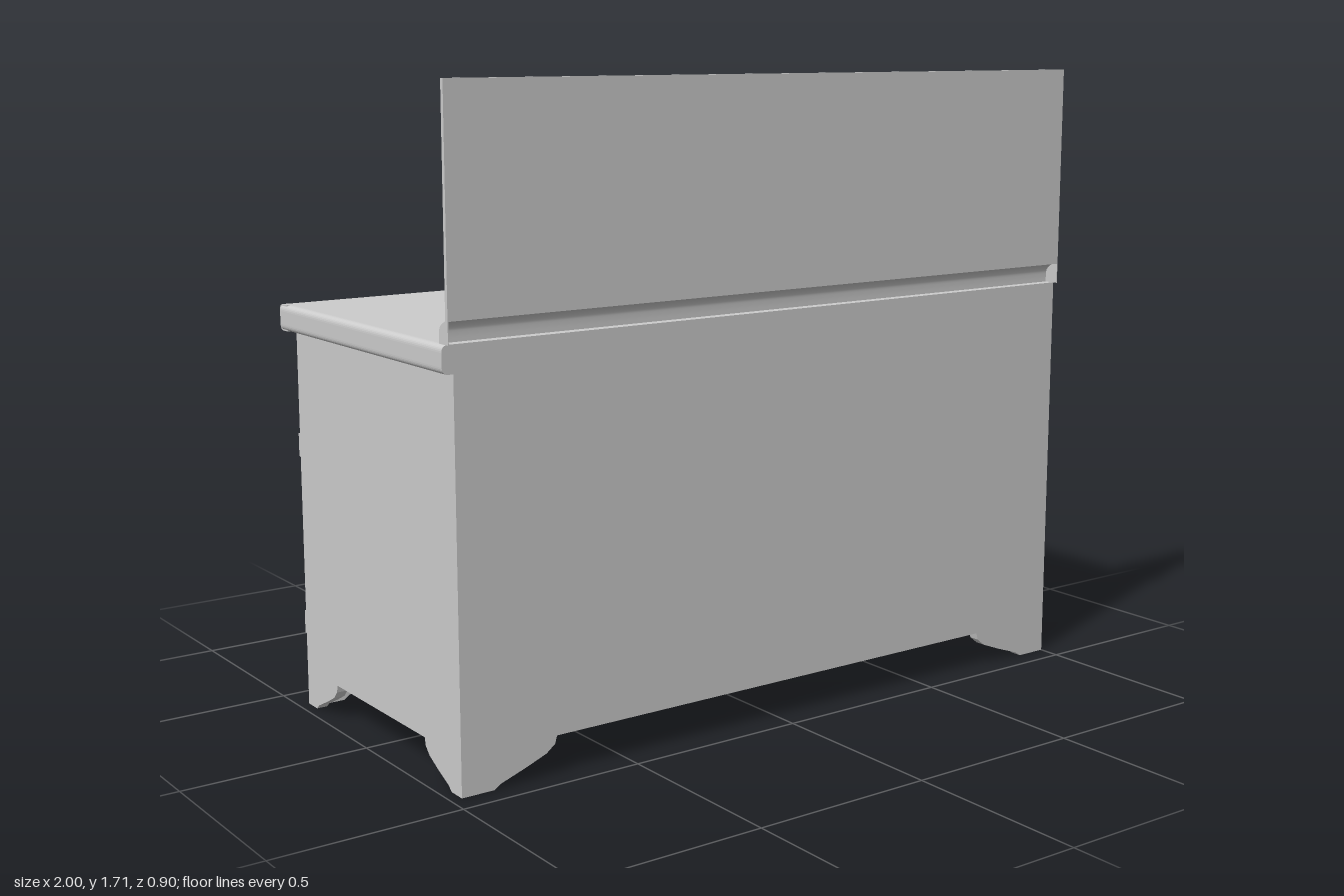
import * as THREE from 'three';

const mat = new THREE.MeshStandardMaterial({ color: 0xcccccc, side: THREE.DoubleSide });

export function createModel() {
  const root = new THREE.Group();

  function add(name, geo, x = 0, y = 0, z = 0) {
    const m = new THREE.Mesh(geo, mat);
    m.name = name;
    m.position.set(x, y, z);
    root.add(m);
    return m;
  }
  // box given by its limits on each axis
  const box = (name, x0, x1, y0, y1, z0, z1) =>
    add(name, new THREE.BoxGeometry(x1 - x0, y1 - y0, z1 - z0),
      (x0 + x1) / 2, (y0 + y1) / 2, (z0 + z1) / 2);
  // extrusion of a (z, y) profile running from x0 to x1
  function alongX(name, shape, x0, x1) {
    const g = new THREE.ExtrudeGeometry(shape, { depth: x1 - x0, bevelEnabled: false, curveSegments: 8 });
    return add(name, g.rotateY(-Math.PI / 2), x1);
  }
  // extrusion of an (x, y) profile running from z0 to z1
  const alongZ = (name, shape, z0, z1) =>
    add(name, new THREE.ExtrudeGeometry(shape, { depth: z1 - z0, bevelEnabled: false, curveSegments: 8 }), 0, 0, z0);

  // board with bracket feet; foot = [toe width, full width], a single number means a square foot
  function footedBoard(a, b, footA, footB) {
    const s = new THREE.Shape();
    const foot = (edge, dir, f) => {
      if (typeof f === 'number') return [[edge, 0], [edge + dir * f, 0], [edge + dir * f, 0.1]];
      const [t, w] = f, d = w - t;
      return [[0, 0], [t, 0], [t + d * 0.1, 0.012], [t + d * 0.5, 0.037], [t + d * 0.83, 0.06],
        [t + d * 0.97, 0.08], [w, 0.1]].map(([u, y]) => [edge + dir * u, y]);
    };
    const pts = [...foot(a, 1, footA), ...foot(b, -1, footB).reverse(), [b, 1.05], [a, 1.05]];
    s.setFromPoints(pts.map(p => new THREE.Vector2(...p)));
    return s;
  }

  // carcass
  const wide = [0.09, 0.27], narrow = [0.05, 0.18];
  alongZ('frontFrame', footedBoard(-0.97, 1, wide, wide), -0.4, -0.37);
  alongZ('backPanel', footedBoard(-0.97, 1, wide, wide), 0.41, 0.44);
  alongX('rightSidePanel', footedBoard(-0.4, 0.44, narrow, narrow), -0.97, -0.94);
  alongX('leftSidePanel', footedBoard(-0.4, 0.44, 0.27, narrow), 0.97, 1);
  box('floorPanel', -0.95, 0.98, 0.16, 0.18, -0.38, 0.42);
  box('centreDivider', 0, 0.03, 0.1, 1.05, -0.38, 0.42);

  // worktop with rounded nosing on the working side and one end
  box('worktop', -0.97, 1, 1.04, 1.1, -0.4, 0.44);
  function nosing(inner, outer) {
    const s = new THREE.Shape(), d = Math.sign(outer - inner), r = 0.018;
    s.moveTo(inner, 1.03);
    s.lineTo(outer - d * r, 1.03);
    s.quadraticCurveTo(outer, 1.03, outer, 1.03 + r);
    s.lineTo(outer, 1.1 - r);
    s.quadraticCurveTo(outer, 1.1, outer - d * r, 1.1);
    s.lineTo(inner, 1.1);
    s.closePath();
    return s;
  }
  alongX('frontNosing', nosing(-0.4, -0.443), -0.995, 1);
  alongZ('endNosing', nosing(-0.97, -1), -0.43, 0.44);

  // splashback sheet with a hollow cove strip, open behind and closed at both ends
  box('splashback', -0.99, 1, 1.155, 1.705, 0.443, 0.454);
  const cove = new THREE.CatmullRomCurve3([
    [0.454, 1.16], [0.44, 1.154], [0.424, 1.146], [0.414, 1.134], [0.412, 1.118], [0.412, 1.1],
  ].map(([z, y]) => new THREE.Vector3(0, y, z))).getPoints(16);
  const strip = new THREE.PlaneGeometry(1.99, 1, 1, 16);
  const pos = strip.attributes.position;
  for (let i = 0; i < pos.count; i++) {
    const p = cove[Math.floor(i / 2)];
    pos.setXYZ(i, i % 2 ? -0.99 : 1, p.y, p.z);
  }
  strip.computeVertexNormals();
  add('coveStrip', strip);
  const capShape = new THREE.Shape([...cove.map(p => new THREE.Vector2(p.z, p.y)), new THREE.Vector2(0.454, 1.1)]);
  for (const x of [-0.99, 0.998]) alongX('coveEndCap', capShape, x, x + 0.002);

  // drawers with cup pulls
  const cup = new THREE.Shape();
  cup.moveTo(-0.041, 0);
  cup.lineTo(0.041, 0);
  cup.bezierCurveTo(0.043, 0.028, 0.028, 0.042, 0, 0.042);
  cup.bezierCurveTo(-0.028, 0.042, -0.043, 0.028, -0.041, 0);
  const cupGeo = new THREE.ExtrudeGeometry(cup, {
    depth: 0.026, bevelThickness: 0.009, bevelSize: 0.006, bevelSegments: 4, curveSegments: 10,
  });
  for (const c of [0.503, -0.49]) {
    box('drawerFront', c - 0.415, c + 0.415, 0.875, 1.01, -0.415, -0.395);
    add('cupPull', cupGeo, c, 0.924, -0.441);
  }

  // doors with paired knobs and strap hinges
  const knobGeo = new THREE.LatheGeometry([
    [0.016, 0], [0.016, 0.004], [0.008, 0.008], [0.008, 0.018], [0.019, 0.029], [0.02, 0.033], [0.015, 0.037], [0, 0.038],
  ].map(p => new THREE.Vector2(...p)), 20).rotateX(-Math.PI / 2);
  for (const c of [0.468, -0.433]) {
    box('doorPanel', c - 0.413, c + 0.413, 0.14, 0.81, -0.407, -0.39);
    for (const dx of [-0.043, 0.043]) add('knob', knobGeo, c + dx, 0.705, -0.406);
  }
  for (const [x0, x1] of [[0.77, 1], [-0.12, 0.16], [-0.97, -0.74]]) {
    for (const y of [0.69, 0.2]) box('hingeStrap', x0, x1, y, y + 0.063, -0.408, -0.39);
  }
  return root;
}
